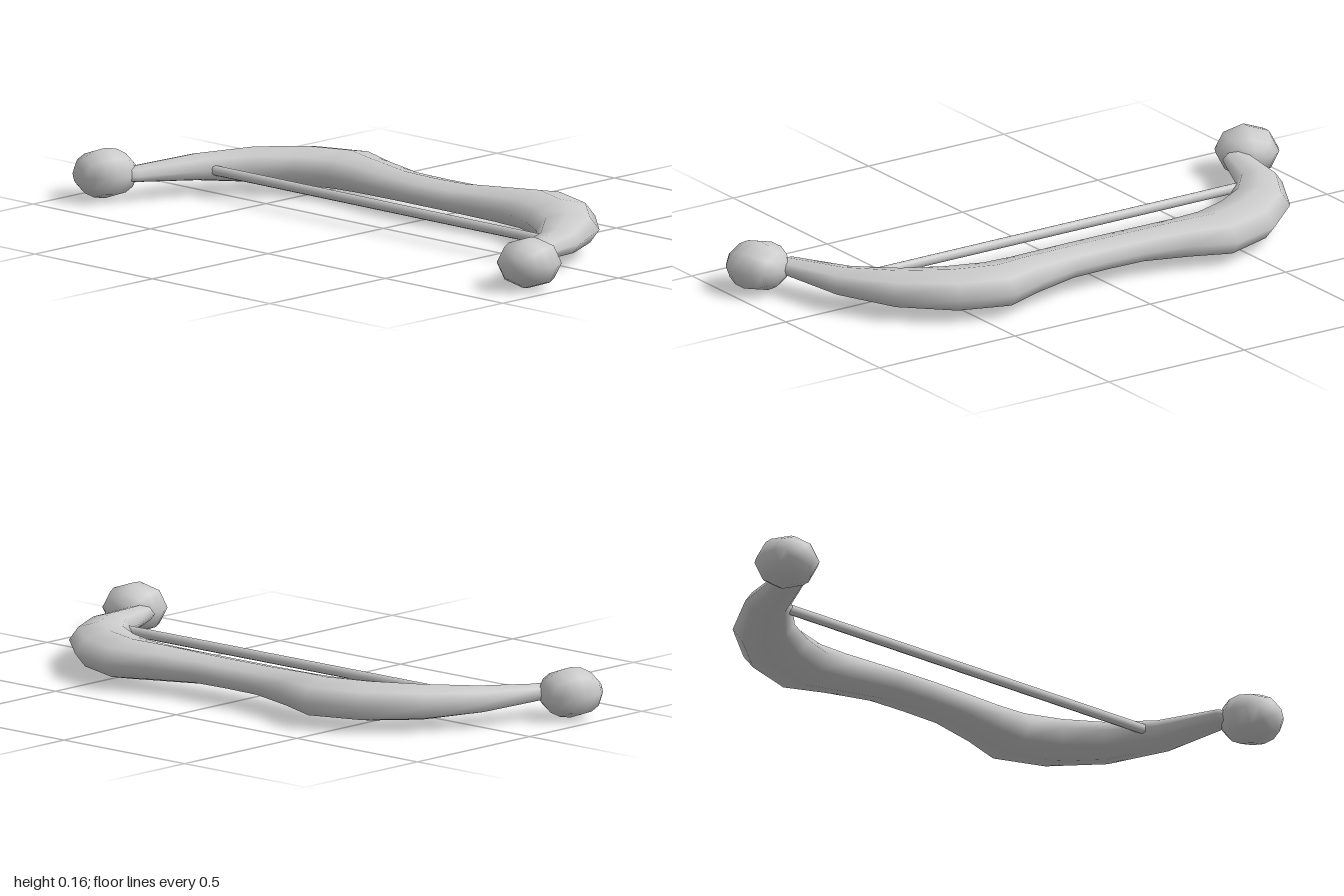
import * as THREE from 'three';

const MID_Y = 0.08;
const SIDES = 8;

// Half of the bow, grip to tip: [outer x, outer z, inner x, inner z, half height]
const half = [
  [0.30, 0.00, 0.133, 0.00, 0.045],
  [0.302, 0.13, 0.136, 0.12, 0.046],
  [0.333, 0.275, 0.153, 0.30, 0.056],
  [0.383, 0.41, 0.148, 0.395, 0.062],
  [0.327, 0.58, 0.11, 0.50, 0.061],
  [0.193, 0.73, 0.047, 0.605, 0.055],
  [0.01, 0.828, -0.065, 0.706, 0.042],
  [-0.20, 0.868, -0.255, 0.79, 0.026],
  [-0.27, 0.90, -0.29, 0.85, 0.02],
];

// Loft octagonal rings through the sections
function bowGeometry() {
  const mirrored = half.slice(1).reverse().map(([a, b, c, d, h]) => [a, -b, c, -d, h]);
  const sections = [...mirrored, ...half];
  const positions = [];
  const index = [];
  sections.forEach(([ox, oz, ix, iz, h], r) => {
    for (let s = 0; s < SIDES; s++) {
      const a = (s / SIDES) * Math.PI * 2;
      const t = (1 + Math.cos(a)) / 2;
      positions.push(ix + (ox - ix) * t, MID_Y + Math.sin(a) * h, iz + (oz - iz) * t);
      if (r < sections.length - 1) {
        const n = (s + 1) % SIDES;
        const p = r * SIDES + s, q = r * SIDES + n;
        index.push(p, p + SIDES, q, q, p + SIDES, q + SIDES);
      }
    }
  });
  // The loft runs along +z with rings turning from +x to +y, so flip the winding outward
  for (let i = 0; i < index.length; i += 3) {
    [index[i + 1], index[i + 2]] = [index[i + 2], index[i + 1]];
  }
  const geo = new THREE.BufferGeometry();
  geo.setAttribute('position', new THREE.Float32BufferAttribute(positions, 3));
  geo.setIndex(index);
  geo.computeVertexNormals();
  return geo;
}

export function createModel() {
  const group = new THREE.Group();
  const material = new THREE.MeshStandardMaterial({ color: 0xcccccc });
  const add = (name, geo) => {
    const mesh = new THREE.Mesh(geo, material);
    mesh.name = name;
    group.add(mesh);
    return mesh;
  };

  // Curved body with both limbs
  add('bowLimbs', bowGeometry());

  // Slightly flattened knobs on the limb tips, poles along the limb
  for (const side of [1, -1]) {
    const geo = new THREE.SphereGeometry(0.099, 8, 8);
    geo.rotateZ(Math.PI / 2);
    geo.scale(1, 0.79, 1);
    geo.rotateY(side * 0.32);
    add(side > 0 ? 'frontKnob' : 'backKnob', geo).position.set(-0.287, MID_Y, side * 0.903);
  }

  // Straight string between the limbs
  const string = new THREE.CylinderGeometry(0.016, 0.016, 1.38, 8);
  string.rotateX(Math.PI / 2);
  add('bowString', string).position.set(-0.027, MID_Y, 0);

  return group;
}
